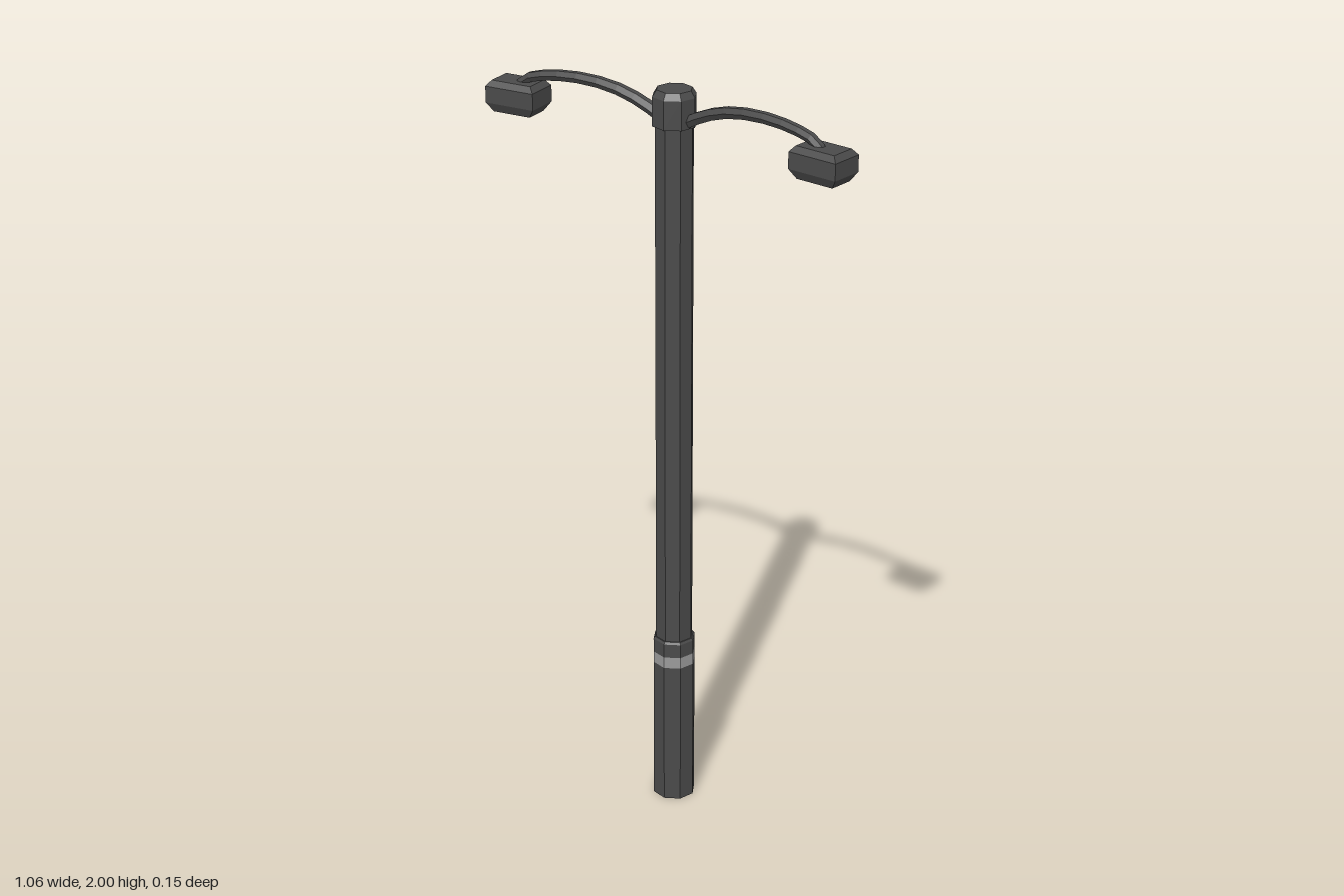
import * as THREE from 'three';

const steel = new THREE.MeshStandardMaterial({ color: 0x4a4a4a, flatShading: true });
steel.name = 'dark grey steel';
const silver = new THREE.MeshStandardMaterial({ color: 0x9a9a9a, flatShading: true });
silver.name = 'light grey band';

const POLE_X = -0.004, POLE_Z = -0.02;
const SWING = 0.095; // how far the arms swing forward
const TWIST = 0.12; // turn of the octagonal pole

// Skin a list of equal-length rings and close both ends.
function loft(rings) {
  const n = rings[0].length;
  const index = [];
  for (let i = 0; i < rings.length - 1; i++) {
    for (let j = 0; j < n; j++) {
      const k = (j + 1) % n;
      const a = i * n + j, b = i * n + k, c = a + n, d = b + n;
      index.push(a, b, d, a, d, c);
    }
  }
  const last = (rings.length - 1) * n;
  for (let j = 1; j < n - 1; j++) {
    index.push(0, j + 1, j);
    index.push(last, last + j, last + j + 1);
  }
  const geometry = new THREE.BufferGeometry().setFromPoints(rings.flat());
  geometry.setIndex(index);
  const flat = geometry.toNonIndexed();
  flat.computeVertexNormals();
  return flat;
}

function part(name, geometry, material) {
  const mesh = new THREE.Mesh(geometry, material);
  mesh.name = name;
  return mesh;
}

// Octagonal column from [radius, height] pairs, bottom to top.
function octagon(profile) {
  return loft(profile.map(([r, y]) => Array.from({ length: 8 }, (_, j) => {
    const a = TWIST + j * Math.PI / 4;
    return new THREE.Vector3(r * Math.sin(a), y, r * Math.cos(a));
  })));
}

// Bevelled lamp housing with a shallow recess underneath.
function lampGeometry() {
  const sections = [ // half length, half width, height
    [0.041, 0.022, 1.873], [0.043, 0.024, 1.866], [0.053, 0.033, 1.866],
    [0.07, 0.045, 1.89], [0.07, 0.045, 1.933], [0.057, 0.034, 1.948],
  ];
  return loft(sections.map(([l, w, y]) => [
    new THREE.Vector3(l, y, w), new THREE.Vector3(l, y, -w),
    new THREE.Vector3(-l, y, -w), new THREE.Vector3(-l, y, w),
  ]));
}

// Curved six-sided arm, tapering towards the lamp.
function armGeometry() {
  const curve = new THREE.CatmullRomCurve3([
    [0.03, 1.915], [0.1, 1.95], [0.18, 1.974], [0.28, 1.982],
    [0.37, 1.974], [0.43, 1.957], [0.462, 1.925],
  ].map(([x, y]) => new THREE.Vector3(x, y, 0)));
  const steps = 10, rings = [];
  for (let i = 0; i <= steps; i++) {
    const t = i / steps;
    const c = curve.getPoint(t), dir = curve.getTangent(t);
    const r = 0.017 - 0.004 * t;
    rings.push(Array.from({ length: 6 }, (_, j) => {
      const a = Math.PI / 6 + j * Math.PI / 3;
      const up = r * Math.cos(a);
      return new THREE.Vector3(c.x - dir.y * up, c.y + dir.x * up, r * Math.sin(a));
    }));
  }
  return loft(rings);
}

export function createModel() {
  const model = new THREE.Group();
  model.name = 'streetLamp';

  // Pole with a wider base, a light band and a cap
  const column = new THREE.Group();
  column.name = 'column';
  column.position.set(POLE_X, 0, POLE_Z);
  column.add(
    part('lowerBase', octagon([[0.057, 0], [0.057, 0.405]]), steel),
    part('baseBand', octagon([[0.057, 0.405], [0.057, 0.437]]), silver),
    part('upperBase', octagon([[0.057, 0.437], [0.057, 0.476], [0.053, 0.482]]), steel),
    part('pole', octagon([[0.05, 0.48], [0.05, 1.91]]), steel),
    part('cap', octagon([[0.057, 1.905], [0.057, 1.98], [0.046, 1.997]]), steel),
  );
  model.add(column);

  // Two arms with lamps, swung slightly forward
  const arm = armGeometry(), lamp = lampGeometry();
  for (const [side, turn] of [['left', -SWING], ['right', Math.PI + SWING]]) {
    const group = new THREE.Group();
    group.name = side + 'Light';
    group.position.z = POLE_Z;
    group.rotation.y = turn;
    const head = part(side + 'Lamp', lamp, steel);
    head.position.x = 0.457;
    group.add(part(side + 'Arm', arm, steel), head);
    model.add(group);
  }
  return model;
}
